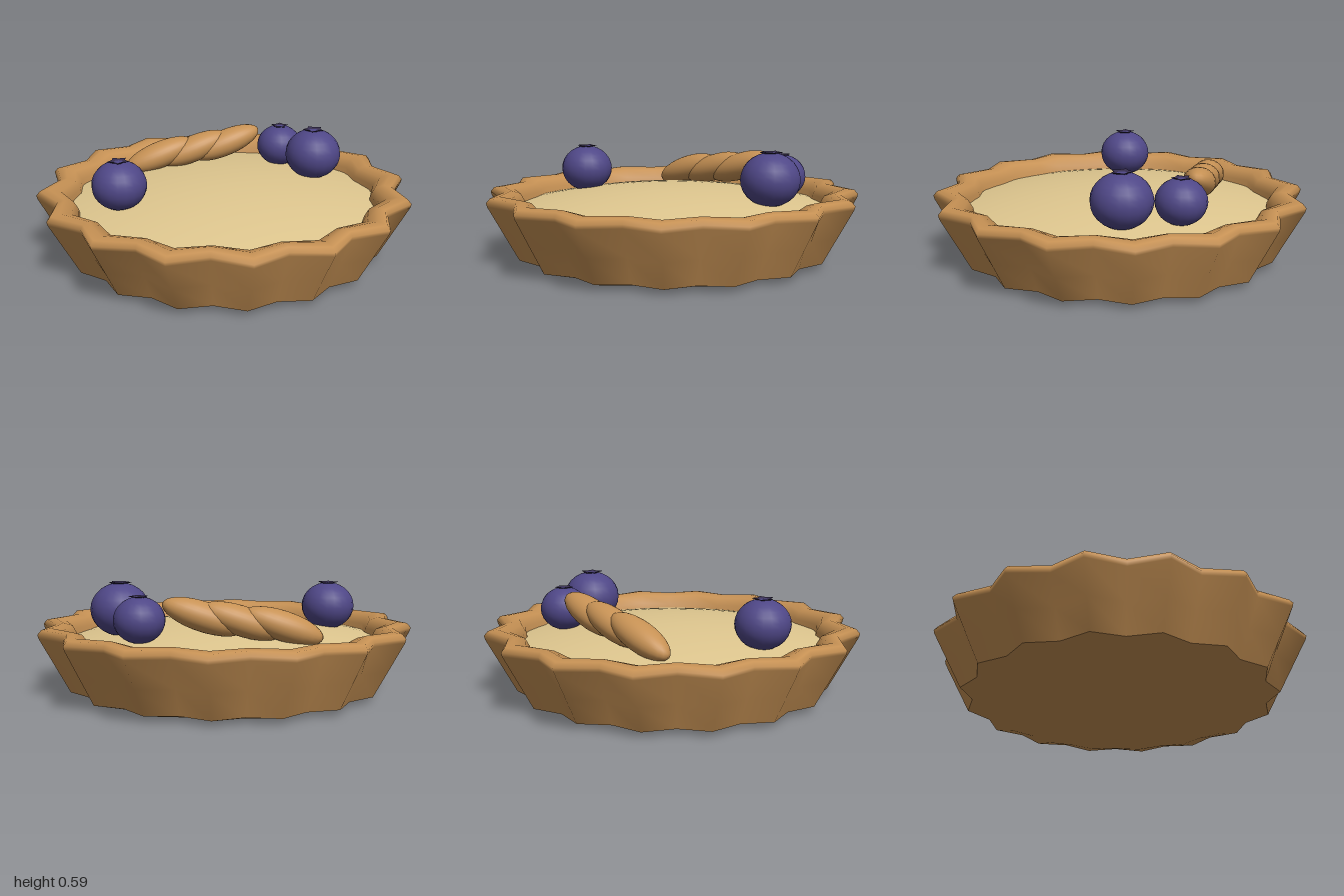
import * as THREE from 'three';
import { mergeVertices } from 'three/addons/utils/BufferGeometryUtils.js';

const mat = (name, color, extra = {}) => Object.assign(new THREE.MeshStandardMaterial({ color, ...extra }), { name });

// Lathe whose points are pulled inwards on every odd segment, by the third profile value
function flutedLathe(profile, segments) {
  const geo = new THREE.LatheGeometry(profile.map(([r, y]) => new THREE.Vector2(r, y)), segments);
  const pos = geo.attributes.position;
  const rows = profile.length;
  for (let i = 0; i < pos.count; i++) {
    if (Math.floor(i / rows) % 2 === 0) continue;
    const k = profile[i % rows][2] ?? 1;
    pos.setX(i, pos.getX(i) * k);
    pos.setZ(i, pos.getZ(i) * k);
  }
  geo.deleteAttribute('uv');
  geo.deleteAttribute('normal');
  const merged = mergeVertices(geo, 1e-4);
  merged.computeVertexNormals();
  return merged;
}

export function createModel() {
  const crustMat = mat('baked crust', 0xc69154);
  const creamMat = mat('cream filling', 0xdfc78f);
  const berryMat = mat('blueberry skin', 0x4f4787);
  const calyxMat = mat('blueberry crown', 0x382f50, { side: THREE.DoubleSide });

  const tart = new THREE.Group();
  tart.name = 'fruitTart';
  const add = (parent, name, geo, material) => {
    const mesh = new THREE.Mesh(geo, material);
    mesh.name = name;
    parent.add(mesh);
    return mesh;
  };

  // Fluted pastry shell with sixteen ridges: wall with rounded rim, then base
  add(tart, 'crustWall', flutedLathe([
    [0.84, 0.03, 0.93], [0.915, 0.17, 0.92], [0.995, 0.32, 0.91], [1, 0.34, 0.91],
    [0.98, 0.363, 0.915], [0.93, 0.37, 0.925], [0.87, 0.355, 0.935],
    [0.835, 0.31, 0.945], [0.82, 0.24, 0.95],
  ], 32), crustMat);
  add(tart, 'crustBase', flutedLathe([[0, 0], [0.71, 0, 0.96], [0.84, 0.03, 0.93]], 32), crustMat);

  // Gently domed filling
  const dome = [];
  for (let i = 0; i <= 10; i++) {
    const t = i / 10;
    dome.push([0.82 * (1 - t), 0.37 - 0.09 * (1 - t) ** 2]);
  }
  add(tart, 'filling', flutedLathe(dome, 48), creamMat);

  // Three overlapping almond slices leaning on each other
  const slices = new THREE.Group();
  slices.name = 'almondSlices';
  tart.add(slices);
  [[-0.455, 0.405, -0.265], [-0.275, 0.43, -0.362], [-0.11, 0.452, -0.45]].forEach(([x, y, z], i) => {
    const slice = add(slices, 'almondSlice' + (i + 1), new THREE.SphereGeometry(1, 24, 16), crustMat);
    slice.scale.set(0.212, 0.075, 0.085);
    slice.rotation.set(0, 0.54, 0.33, 'YZX');
    slice.position.set(x, y, z);
  });

  // Blueberries with a flared five-pointed crown
  const crownGeo = flutedLathe([
    [0.2, 0.84], [0.22, 0.96], [0.4, 1.01, 0.62], [0.39, 1.025, 0.62], [0.17, 0.985], [0, 0.97],
  ], 10);
  [[-0.46, 0.435, 0.36, 0.143], [0.19, 0.43, -0.56, 0.13], [0.42, 0.45, -0.38, 0.155]].forEach(([x, y, z, r], i) => {
    const berry = new THREE.Group();
    berry.name = 'blueberry' + (i + 1);
    add(berry, 'berryBody', new THREE.SphereGeometry(1, 20, 14), berryMat);
    add(berry, 'berryCrown', crownGeo, calyxMat).rotation.y = 0.3 + i * 0.5;
    berry.scale.set(r, r * 0.9, r);
    berry.position.set(x, y, z);
    tart.add(berry);
  });

  return tart;
}
